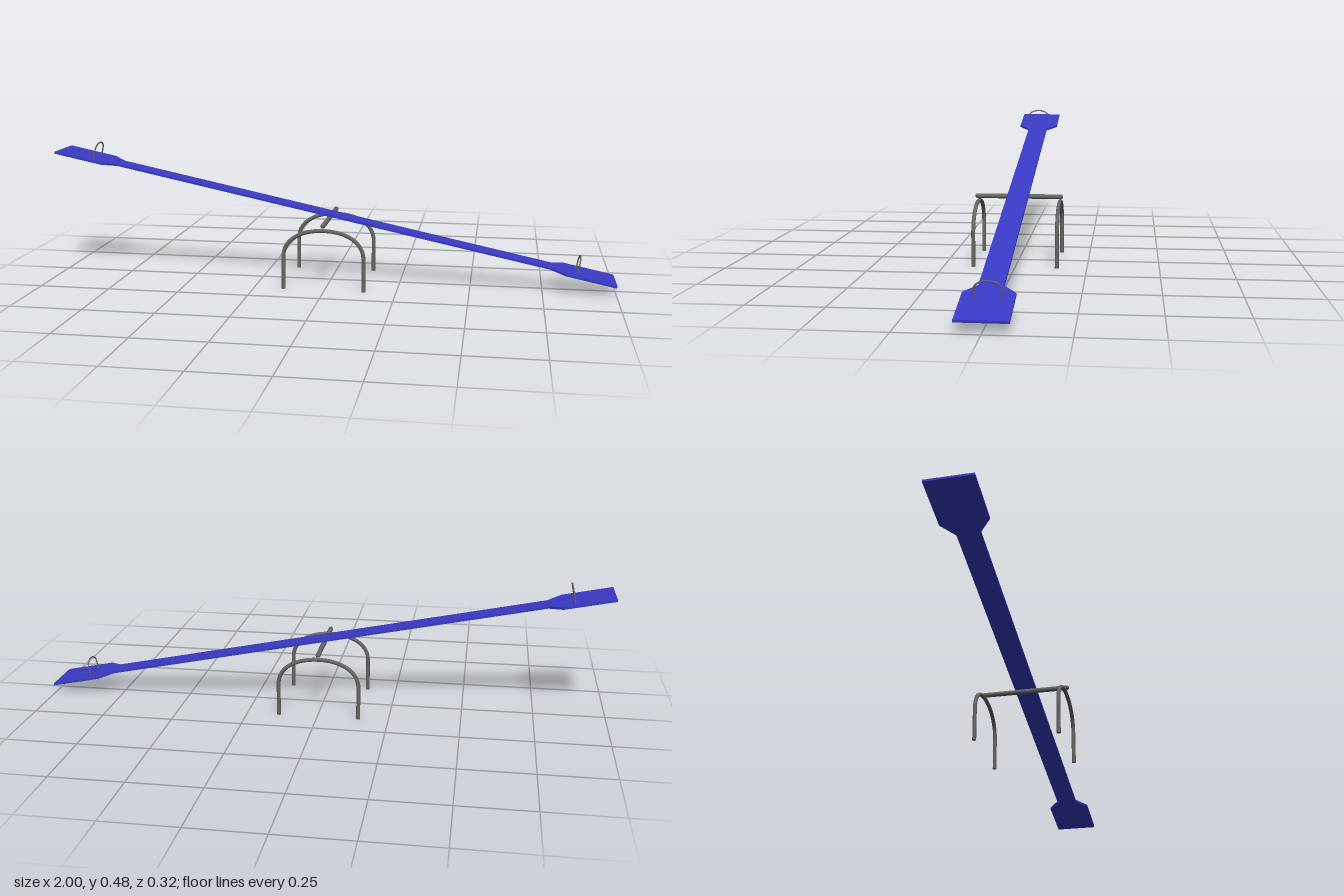
import * as THREE from 'three';

const TILT = -0.2046;

// Inverted-U tube in the local XY plane: straight legs joined by a flattened arch
function hoop(halfWidth, legHeight, topHeight, radius, material, name) {
  const path = new THREE.CurvePath();
  const rise = topHeight - legHeight;
  const k = 0.6;
  const v = (x, y) => new THREE.Vector3(x, y, 0);
  path.add(new THREE.LineCurve3(v(-halfWidth, 0), v(-halfWidth, legHeight)));
  path.add(new THREE.CubicBezierCurve3(
    v(-halfWidth, legHeight), v(-halfWidth, legHeight + rise * k),
    v(-halfWidth * k, topHeight), v(0, topHeight)));
  path.add(new THREE.CubicBezierCurve3(
    v(0, topHeight), v(halfWidth * k, topHeight),
    v(halfWidth, legHeight + rise * k), v(halfWidth, legHeight)));
  path.add(new THREE.LineCurve3(v(halfWidth, legHeight), v(halfWidth, 0)));
  const group = new THREE.Group();
  group.name = name;
  const tube = new THREE.Mesh(new THREE.TubeGeometry(path, 64, radius, 12), material);
  tube.name = name + 'Tube';
  group.add(tube);
  // Flat caps closing the feet
  for (const s of [-1, 1]) {
    const cap = new THREE.Mesh(new THREE.CircleGeometry(radius, 12), material);
    cap.name = name + 'FootCap';
    cap.rotation.x = Math.PI / 2;
    cap.position.x = s * halfWidth;
    group.add(cap);
  }
  return group;
}

export function createModel() {
  const model = new THREE.Group();
  model.name = 'seesaw';
  const blue = new THREE.MeshStandardMaterial({ color: 0x3a3ac6 });
  blue.name = 'blue paint';
  const steel = new THREE.MeshStandardMaterial({ color: 0x666664 });
  steel.name = 'grey steel';

  // Two arched supports and the pivot bar between them
  for (const s of [-1, 1]) {
    const arch = hoop(0.141, 0.115, 0.212, 0.007, steel, s > 0 ? 'frontSupport' : 'backSupport');
    arch.position.set(-0.004, 0, s * 0.146);
    model.add(arch);
  }
  const pivot = new THREE.Mesh(new THREE.CapsuleGeometry(0.0085, 0.3, 4, 16), steel);
  pivot.name = 'pivotBar';
  pivot.rotation.x = Math.PI / 2;
  pivot.position.set(-0.004, 0.23, 0);
  model.add(pivot);

  // Tilted beam assembly
  const beam = new THREE.Group();
  beam.name = 'beam';
  beam.position.y = 0.2432;
  beam.rotation.z = TILT;
  model.add(beam);

  // Plank with widened seats at both ends
  const half = [[1.0203, 0.078], [0.843, 0.078], [0.794, 0.0378]];
  const upper = [...half, ...half.map(([x, z]) => [-x, z]).reverse()];
  const outline = [...upper, ...upper.map(([x, z]) => [x, -z]).reverse()];
  const shape = new THREE.Shape(outline.map(([x, z]) => new THREE.Vector2(x, z)));
  const plankGeometry = new THREE.ExtrudeGeometry(shape, { depth: 0.008, bevelEnabled: false });
  plankGeometry.translate(0, 0, -0.004);
  plankGeometry.rotateX(-Math.PI / 2);
  const plank = new THREE.Mesh(plankGeometry, blue);
  plank.name = 'plank';
  beam.add(plank);

  // Hand grips standing square to the plank
  for (const s of [-1, 1]) {
    const grip = hoop(0.04, 0.03, 0.0565, 0.0025, steel, s > 0 ? 'leftGrip' : 'rightGrip');
    grip.rotation.y = Math.PI / 2;
    grip.position.set(s * 0.885, 0.002, s * -0.002);
    beam.add(grip);
  }
  return model;
}
